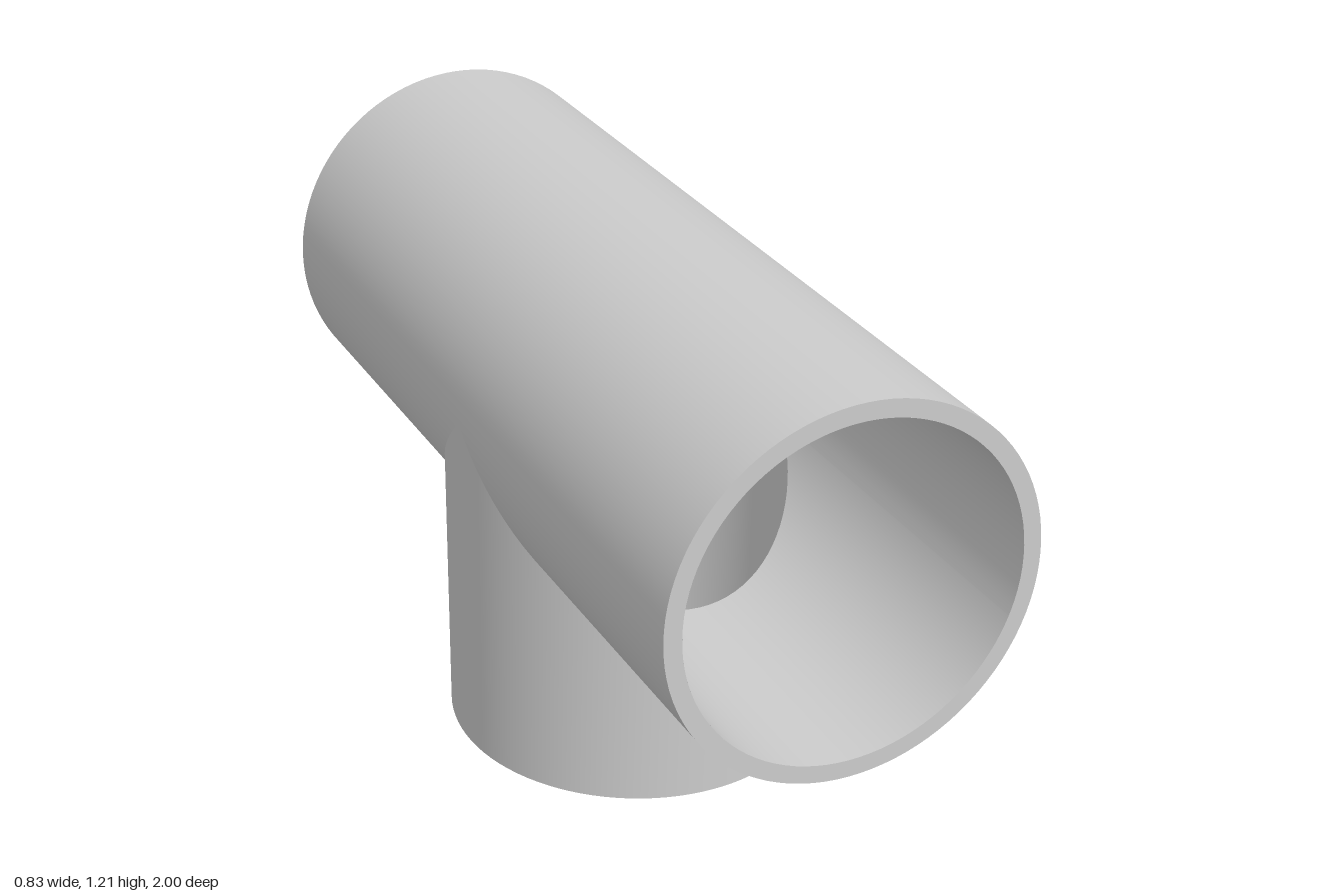
import * as THREE from 'three';
import { mergeGeometries, mergeVertices } from 'three/addons/utils/BufferGeometryUtils.js';

const R = 0.412, RI = 0.373;        // run pipe, outer and inner radius
const BZ = 0.432, BI = 0.35;        // branch outer depth radius and bore radius
const AXIS = 0.798, BOTTOM = -0.795; // height of the run axis, branch mouth below it
const N = 96;

const material = new THREE.MeshStandardMaterial({ color: 0xcccccc, side: THREE.DoubleSide });
const V = (x, y, z) => new THREE.Vector3(x, y, z);
const sample = (from, to, n, f) => Array.from({ length: n + 1 }, (_, i) => f(from + (to - from) * i / n));

// Ruled surface between two point rows of equal length
function strip(a, b) {
  const index = [], n = a.length;
  for (let i = 0; i < n - 1; i++) index.push(i, i + 1, n + i + 1, i, n + i + 1, n + i);
  const g = new THREE.BufferGeometry().setFromPoints([...a, ...b]);
  g.setIndex(index);
  return g;
}

function part(name, ...strips) {
  const g = mergeVertices(mergeGeometries(strips), 1e-5);
  g.computeVertexNormals();
  const mesh = new THREE.Mesh(g, material);
  mesh.name = name;
  return mesh;
}

// Pipe wall along z; each profile point is (x, y, half width of the branch opening)
function runWall(profile, outward) {
  const row = (f) => profile.map(p => V(p.x, p.y, f(p.z)));
  const pairs = [[row(() => -1), row(w => -w)], [row(w => w), row(() => 1)]];
  return pairs.map(([lo, hi]) => outward ? strip(lo, hi) : strip(hi, lo));
}

export function createModel() {
  const tee = new THREE.Group();
  tee.name = 'pipeTee';

  // Run pipe: outer wall opened where the branch joins
  const outer = sample(-Math.PI, Math.PI, N, t =>
    V(R * Math.sin(t), -R * Math.cos(t), BZ * Math.max(0, Math.cos(t))));
  tee.add(part('runOuterWall', ...runWall(outer, true)));

  // Run pipe: bore, sampled along the edge of the branch hole
  const edge = Math.asin(BI / RI);
  const plain = t => V(RI * Math.sin(t), -RI * Math.cos(t), 0);
  const hole = t => {
    const x = BI * Math.sin(t);
    return V(x, -Math.sqrt(RI * RI - x * x), BI * Math.max(0, Math.cos(t)));
  };
  const inner = [
    ...sample(-Math.PI, -edge, 32, plain).slice(0, -1),
    ...sample(-Math.PI / 2, Math.PI / 2, 48, hole),
    ...sample(edge, Math.PI, 32, plain).slice(1),
  ];
  tee.add(part('runBore', ...runWall(inner, false)));

  // Run pipe: flat end rims
  const circle = (r, z) => sample(-Math.PI, Math.PI, N, t => V(r * Math.sin(t), -r * Math.cos(t), z));
  tee.add(part('frontRim', strip(circle(R, 1), circle(RI, 1))));
  tee.add(part('backRim', strip(circle(RI, -1), circle(R, -1))));

  // Branch: walls rise from the mouth to meet the run pipe
  const mouth = (a, b) => sample(0, Math.PI * 2, N, t => V(a * Math.cos(t), BOTTOM, b * Math.sin(t)));
  const raise = (row, r) => row.map(p => V(p.x, -Math.sqrt(Math.max(0, r * r - p.x * p.x)), p.z));
  const outerMouth = mouth(R, BZ), innerMouth = mouth(BI, BI);
  tee.add(part('branchOuterWall', strip(raise(outerMouth, R), outerMouth)));
  tee.add(part('branchBore', strip(innerMouth, raise(innerMouth, RI))));
  tee.add(part('branchRim', strip(outerMouth, innerMouth)));

  // The fitting sits very slightly askew
  tee.position.y = AXIS;
  tee.rotation.set(0, 0.0035, -0.0075);

  const model = new THREE.Group();
  model.name = 'pipeFitting';
  model.add(tee);
  return model;
}
